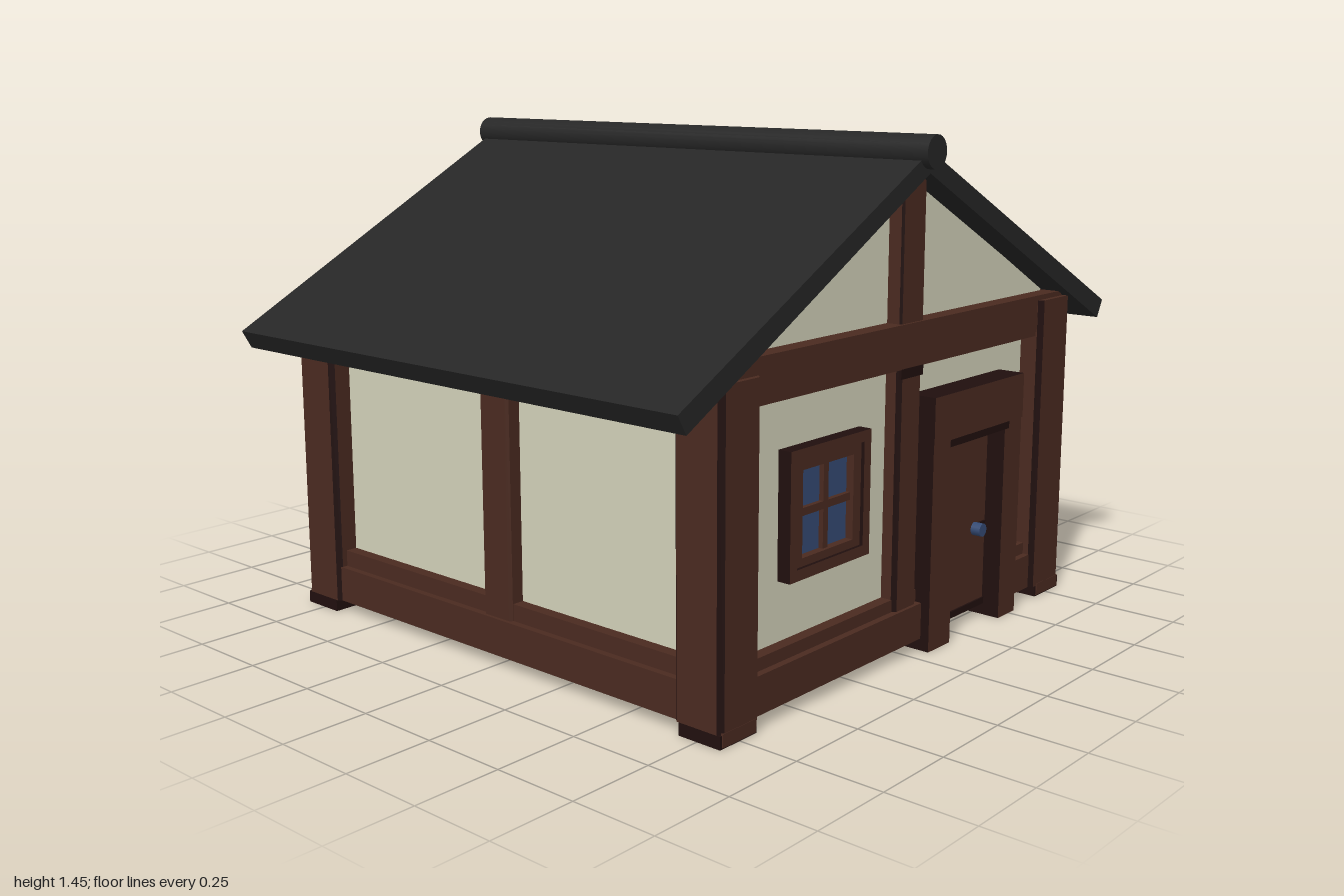
import * as THREE from 'three';

const mat = (name, color) => {
  const m = new THREE.MeshStandardMaterial({ color });
  m.name = name;
  return m;
};
const timber = mat('timber brown', 0x4a2a20);
const worn = mat('dark worn timber', 0x200f0e);
const plaster = mat('cream plaster', 0xd2d1b9);
const slate = mat('dark slate', 0x262626);
const glass = mat('blue glass', 0x344a73);
// Box faces in order +x, -x, +y, -y, +z, -z
const wornSides = [worn, worn, worn, worn, timber, timber];
const wornBelow = [timber, timber, timber, worn, timber, timber];

const polygon = (pts) => new THREE.Shape(pts.map(([x, y]) => new THREE.Vector2(x, y)));
const rect = (x0, x1, y0, y1) => [[x0, y0], [x1, y0], [x1, y1], [x0, y1]];

export function createModel() {
  const house = new THREE.Group();
  house.name = 'timberHouse';

  const add = (name, geometry, material) => {
    const mesh = new THREE.Mesh(geometry, material);
    mesh.name = name;
    house.add(mesh);
    return mesh;
  };
  // Box given by its limits on each axis
  const box = (name, x0, x1, y0, y1, z0, z1, material = timber) => {
    const g = new THREE.BoxGeometry(x1 - x0, y1 - y0, z1 - z0);
    g.translate((x0 + x1) / 2, (y0 + y1) / 2, (z0 + z1) / 2);
    return add(name, g, material);
  };
  // Flat outline in x and y, extruded from z0 to z1, with optional holes
  const slab = (name, pts, z0, z1, material, holes = []) => {
    const s = polygon(pts);
    holes.forEach((h) => s.holes.push(new THREE.Path(polygon(h).getPoints())));
    const g = new THREE.ExtrudeGeometry(s, { depth: z1 - z0, bevelEnabled: false });
    g.translate(0, 0, z0);
    return add(name, g, material);
  };
  // Chamfered upright with its diagonal edges in a given wood
  const post = (name, x0, x1, y0, y1, z0, z1, c, edge) => {
    const s = polygon([
      [x0 + c, -z1], [x1 - c, -z1], [x1, -z1 + c], [x1, -z0 - c],
      [x1 - c, -z0], [x0 + c, -z0], [x0, -z0 - c], [x0, -z1 + c],
    ]);
    const g = new THREE.ExtrudeGeometry(s, { depth: y1 - y0, bevelEnabled: false });
    g.rotateX(-Math.PI / 2);
    g.translate(0, y0, 0);
    g.clearGroups();
    const n = g.attributes.normal;
    for (let i = 0; i < n.count; i += 3) {
      const diagonal = Math.abs(n.getX(i)) > 0.3 && Math.abs(n.getZ(i)) > 0.3;
      g.addGroup(i, 3, diagonal ? 1 : 0);
    }
    return add(name, g, [timber, edge]);
  };

  // Corner posts with narrower feet and worn edges
  for (const sx of [-1, 1]) {
    for (const sz of [-1, 1]) {
      const span = (a, b, s) => (s > 0 ? [a, b] : [-b, -a]);
      const inner = sx < 0 ? 0.672 : 0.655;
      const top = sx < 0 ? 0.9 : 0.93;
      post('cornerPost', ...span(inner, 0.825, sx), 0.035, top, ...span(0.67, 0.827, sz), 0.014, worn);
      box('postFoot', ...span(0.685, 0.825, sx), 0, 0.035, ...span(0.69, 0.825, sz), worn);
      box('footFace', ...span(0.69, 0.817, sx), 0.004, 0.04, ...span(0.695, 0.828, sz));
    }
  }

  // Gable walls; the front one is pierced for the door and window
  const gable = [[-0.76, 0.1], [0.76, 0.1], [0.76, 0.95], [0, 1.355], [-0.76, 0.93]];
  const frontGable = [
    [-0.76, 0.1], [0.1, 0.1], [0.1, 0.66], [0.49, 0.66], [0.49, 0.1],
    [0.76, 0.1], [0.76, 0.95], [0, 1.355], [-0.76, 0.93],
  ];
  slab('frontWall', frontGable, 0.74, 0.76, plaster, [rect(-0.48, -0.22, 0.38, 0.64)]);
  slab('backWall', gable, -0.76, -0.74, plaster);

  // Framing shared by the front and the back
  const tieBeam = [[-0.82, 0.835], [0.82, 0.835], [0.82, 0.92], [0.78, 0.945], [-0.73, 0.945], [-0.82, 0.895]];
  for (const s of [-1, 1]) {
    const z = (a, b) => (s > 0 ? [a, b] : [-b, -a]);
    const edge = s > 0 ? worn : timber;
    slab('tieBeam', tieBeam, ...z(0.72, 0.812), timber);
    box('tieBeamLedge', -0.67, 0.67, 0.822, 0.836, ...z(0.72, 0.808), wornBelow);
    post('gablePost', -0.06, 0.05, 0.94, 1.35, ...z(0.725, 0.805), 0.006, edge);
    post('middlePost', -0.06, 0.05, 0.13, 0.84, ...z(0.725, 0.805), 0.012, edge);
    const runs = s > 0 ? [[-0.69, 0.07], [0.52, 0.69]] : [[-0.69, 0.69]];
    for (const [a, b] of runs) {
      box('sill', a, b, 0.035, 0.14, ...z(0.73, 0.815));
      box('sillLedge', a, b, 0.14, 0.175, ...z(0.73, 0.795));
    }
  }
  box('middlePostTop', -0.058, 0.048, 0.795, 0.823, 0.8, 0.808, worn);

  // Side walls and their framing
  for (const s of [-1, 1]) {
    const x = (a, b) => (s > 0 ? [a, b] : [-b, -a]);
    box('sideWall', ...x(0.74, 0.76), 0.1, 0.92, -0.75, 0.75, plaster);
    box('sideSill', ...x(0.73, 0.815), 0.035, 0.14, -0.69, 0.69);
    box('sideSillLedge', ...x(0.73, 0.795), 0.14, 0.188, -0.69, 0.69);
    post('sideMiddlePost', ...x(0.725, 0.805), 0.13, 0.85, -0.045, 0.065, 0.008, timber);
    box('sideTopBeam', ...x(0.72, 0.812), 0.835, s < 0 ? 0.905 : 0.935, -0.69, 0.69);
    box('sideTopBeamLedge', ...x(0.72, 0.807), 0.81, 0.836, -0.69, 0.69, worn);
  }

  // Roof slopes and the round ridge cap
  slab('leftRoof', [[0, 1.345], [0.972, 0.845], [1, 0.897], [0, 1.405]], -0.85, 0.845, slate);
  slab('rightRoof', [[0, 1.345], [0, 1.405], [-1, 0.862], [-0.97, 0.81]], -0.85, 0.845, slate);
  const ridge = add('ridgeCap', new THREE.CylinderGeometry(0.046, 0.046, 1.736, 24), slate);
  ridge.rotation.x = Math.PI / 2;
  ridge.position.set(-0.005, 1.402, 0);

  // Window: stepped frame, glazing bars and four panes
  slab('windowFrame', rect(-0.525, -0.18, 0.338, 0.682), 0.732, 0.8, [timber, worn], [rect(-0.495, -0.21, 0.368, 0.652)]);
  slab('windowSash', rect(-0.495, -0.21, 0.368, 0.652), 0.735, 0.79, timber, [rect(-0.462, -0.243, 0.39, 0.622)]);
  box('glazingBar', -0.361, -0.34, 0.385, 0.627, 0.74, 0.78);
  box('glazingBar', -0.467, -0.238, 0.497, 0.518, 0.74, 0.78);
  for (const x of [-0.462, -0.34]) {
    for (const y of [0.39, 0.518]) {
      box('windowPane', x, x + 0.1, y, y + 0.105, 0.758, 0.767, glass);
    }
  }

  // Door and its frame, with dark wood on the frame's narrow sides
  box('doorLintel', 0.058, 0.532, 0.6, 0.732, 0.715, 0.845, wornSides);
  box('doorPostLeft', 0.438, 0.53, 0, 0.605, 0.718, 0.842, wornSides);
  box('doorPostRight', 0.06, 0.17, 0, 0.605, 0.718, 0.842, wornSides);
  box('doorPanel', 0.165, 0.445, 0.04, 0.605, 0.735, 0.785);
  box('doorTopEdge', 0.145, 0.46, 0.578, 0.602, 0.735, 0.843, worn);
  box('doorBottomEdge', 0.17, 0.44, 0.035, 0.055, 0.73, 0.79, worn);

  // Door handle on both faces
  box('handlePlate', 0.385, 0.432, 0.258, 0.295, 0.728, 0.791, worn);
  const knob = add('doorKnob', new THREE.CylinderGeometry(0.02, 0.02, 0.11, 12), glass);
  knob.rotation.x = Math.PI / 2;
  knob.position.set(0.38, 0.28, 0.76);

  return house;
}
